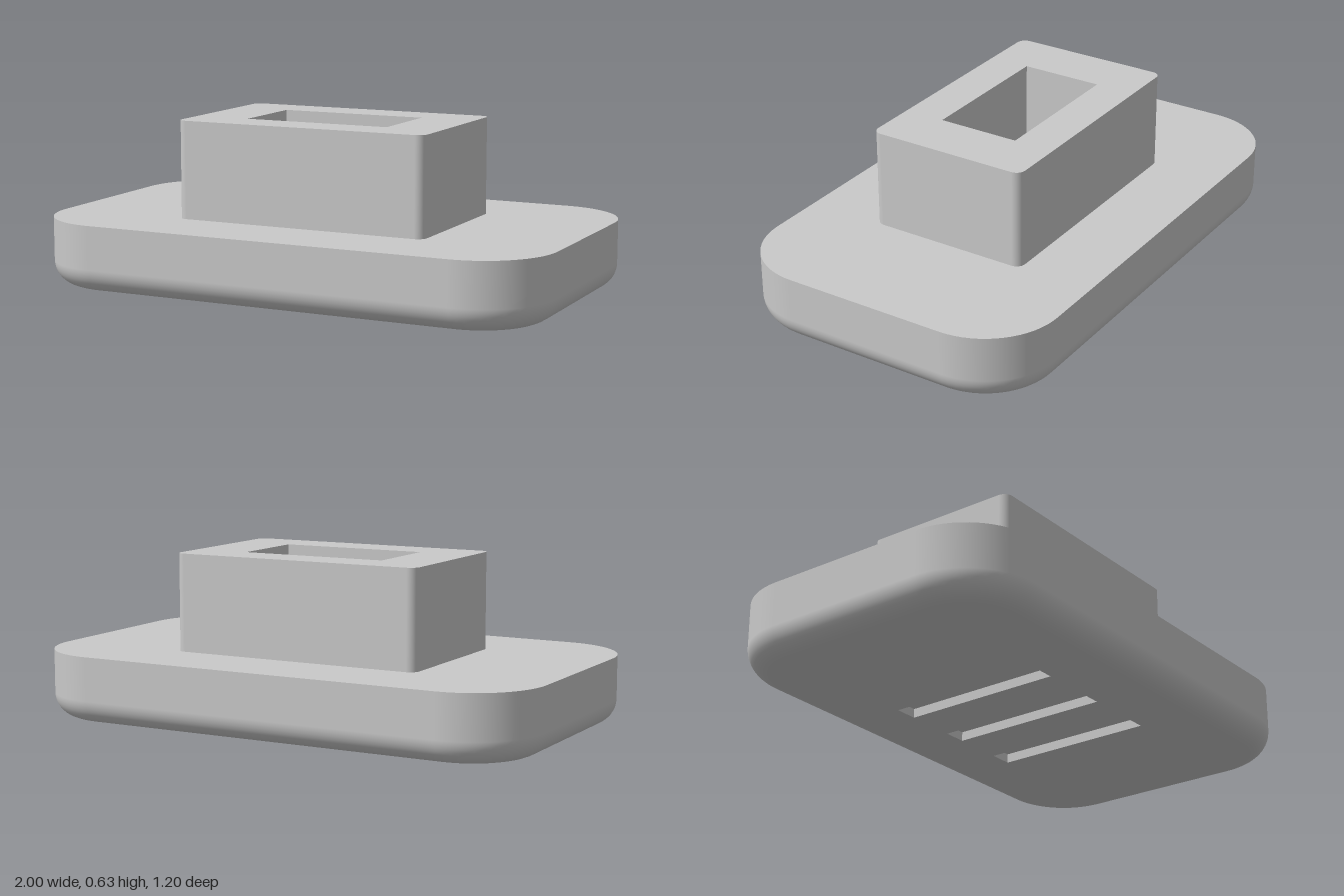
import * as THREE from 'three';

const SEG = 16; // steps per rounded corner

// Points and outward normals around a rounded rectangle in the xz plane
function outline(w, d, r) {
  const pts = [];
  const corners = [[1, 1], [-1, 1], [-1, -1], [1, -1]];
  corners.forEach(([sx, sz], c) => {
    for (let i = 0; i <= SEG; i++) {
      const a = (c + i / SEG) * Math.PI / 2;
      const nx = Math.cos(a), nz = Math.sin(a);
      pts.push({ x: sx * (w / 2 - r) + r * nx, z: sz * (d / 2 - r) + r * nz, nx, nz });
    }
  });
  return pts;
}

// Smooth side wall from the top level down, each { y, inset, tilt }; tilt turns the normal downward
function wall(w, d, r, levels) {
  const base = outline(w, d, r), n = base.length;
  const pos = [], nor = [], idx = [];
  levels.forEach(({ y, inset = 0, tilt = 0 }, k) => {
    base.forEach((p, i) => {
      pos.push(p.x - p.nx * inset, y, p.z - p.nz * inset);
      nor.push(p.nx * Math.cos(tilt), -Math.sin(tilt), p.nz * Math.cos(tilt));
      if (k === 0) return;
      const j = (i + 1) % n, a = (k - 1) * n, b = k * n;
      idx.push(a + i, b + j, b + i, a + i, a + j, b + j);
    });
  });
  const g = new THREE.BufferGeometry();
  g.setAttribute('position', new THREE.Float32BufferAttribute(pos, 3));
  g.setAttribute('normal', new THREE.Float32BufferAttribute(nor, 3));
  g.setIndex(idx);
  return g;
}

// Flat rounded face with rectangular openings, each { x, w, d }
function cap(w, d, r, y, facing, holes) {
  const shape = new THREE.Shape(outline(w, d, r).map(p => new THREE.Vector2(p.x, p.z)));
  for (const h of holes) {
    const a = h.x - h.w / 2, b = h.x + h.w / 2, e = h.d / 2;
    shape.holes.push(new THREE.Path([[a, -e], [a, e], [b, e], [b, -e]].map(p => new THREE.Vector2(...p))));
  }
  return new THREE.ShapeGeometry(shape).rotateX(-facing * Math.PI / 2).translate(0, y, 0);
}

// Inside of a box with one face left open (2 = top, 3 = bottom)
function recess({ x, w, d }, y0, y1, openFace) {
  const g = new THREE.BoxGeometry(w, y1 - y0, d).translate(x, (y0 + y1) / 2, 0);
  const src = g.index.array, idx = [];
  for (let i = 0; i < src.length; i += 3) {
    if (Math.floor(i / 6) !== openFace) idx.push(src[i], src[i + 2], src[i + 1]);
  }
  g.setIndex(idx);
  g.clearGroups();
  const n = g.attributes.normal;
  for (let i = 0; i < n.count; i++) n.setXYZ(i, -n.getX(i), -n.getY(i), -n.getZ(i));
  return g;
}

export function createModel() {
  const model = new THREE.Group();
  model.name = 'pedestalHolder';
  const grey = new THREE.MeshStandardMaterial({ color: 0xc9c9c9 });
  grey.name = 'grey';
  const group = name => {
    const g = new THREE.Group();
    g.name = name;
    model.add(g);
    return g;
  };
  const add = (parent, name, geometry) => {
    const m = new THREE.Mesh(geometry, grey);
    m.name = name;
    parent.add(m);
  };

  // Base slab with a rounded lower edge
  const W = 2, D = 1.2, R = 0.285, H = 0.257, F = 0.09;
  const levels = [{ y: H }];
  for (let i = 0; i <= 10; i++) {
    const t = i / 10 * Math.PI / 2;
    levels.push({ y: F - F * Math.sin(t), inset: F * (1 - Math.cos(t)), tilt: t });
  }
  const slots = [-0.286, 0, 0.286].map(x => ({ x, w: 0.09, d: 0.628 }));
  const base = group('base');
  add(base, 'baseSide', wall(W, D, R, levels));
  add(base, 'baseTop', cap(W, D, R, H, 1, [{ x: 0, w: 0.9, d: 0.56 }]));
  add(base, 'baseBottom', cap(W - 2 * F, D - 2 * F, R - F, 0, -1, slots));

  // Shallow grooves in the underside
  slots.forEach((s, i) => add(base, `groove${i + 1}`, recess(s, 0, 0.035, 3)));

  // Raised block with a rectangular pocket
  const T = 0.628, pocket = { x: 0, w: 0.572, d: 0.315 };
  const block = group('raisedBlock');
  add(block, 'blockSide', wall(1, 0.628, 0.035, [{ y: T }, { y: H }]));
  add(block, 'blockTop', cap(1, 0.628, 0.035, T, 1, [pocket]));
  add(block, 'pocket', recess(pocket, H, T, 2));

  return model;
}
